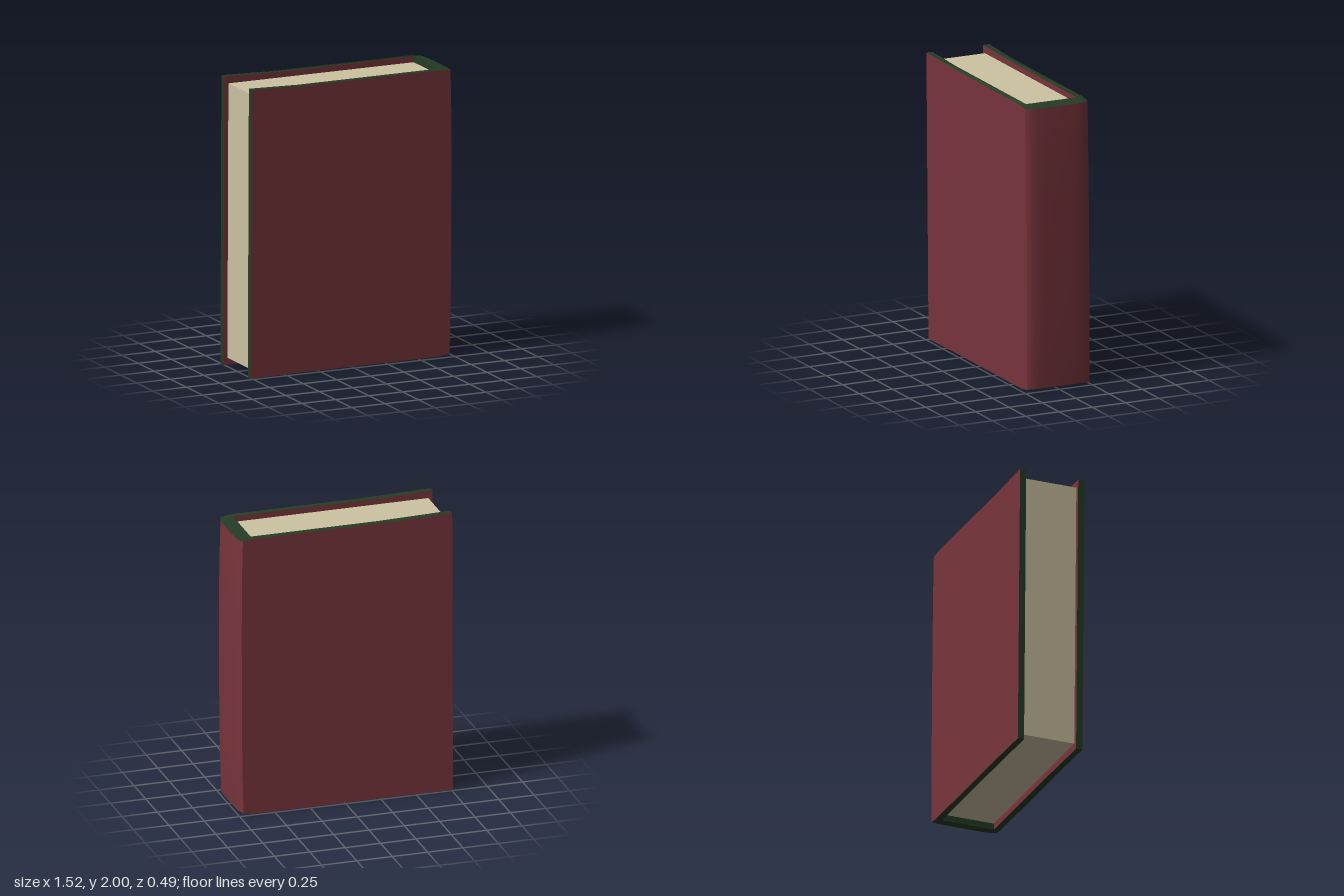
import * as THREE from 'three';

const X0 = -0.76, XI = 0.65, XC = 0.73; // fore edge, inner spine wall, spine corner
const ZO = 0.235, ZI = 0.19;            // outer and inner faces of the boards

export function createModel() {
  const mat = (name, color) => {
    const m = new THREE.MeshStandardMaterial({ color });
    m.name = name;
    return m;
  };
  const red = mat('red cloth', 0x78353c);
  const green = mat('dark green edge', 0x243c24);
  const cream = mat('cream paper', 0xcdc3a3);

  const book = new THREE.Group();
  book.name = 'book';
  const add = (name, geometry, material, parent) => {
    geometry.computeVertexNormals();
    const mesh = new THREE.Mesh(geometry, material);
    mesh.name = name;
    parent.add(mesh);
  };

  // Maps a plan point and a height fraction t to the slightly worn, leaning cover
  const place = (x, z, t) => {
    const s = 2 * t - 1;
    const spine = THREE.MathUtils.clamp((x - XI) / 0.11, 0, 1);
    const worn = THREE.MathUtils.clamp((x - X0) / 0.36, 0, 1);
    const top = 2 - 0.011 * worn - 0.014 * spine;
    const bottom = 0.005 * worn + 0.016 * spine;
    return [
      x - 0.014 * spine * Math.abs(s) ** 3,
      THREE.MathUtils.lerp(bottom, top, t),
      z + 0.008 * s,
    ];
  };

  // Rounded spine, running from the front corner to the back corner
  const half = [[XC, ZO], [0.742, 0.215], [0.751, 0.19], [0.757, 0.15], [0.76, 0.08]];
  const spine = [...half, ...half.slice().reverse().map(([x, z]) => [x, -z])];

  const cover = new THREE.Group();
  cover.name = 'cover';
  book.add(cover);

  // Upright surface following a plan path
  const wall = (name, path, material) => {
    const rows = 16, n = path.length;
    const g = new THREE.PlaneGeometry(1, 1, n - 1, rows);
    for (let r = 0; r <= rows; r++)
      path.forEach(([x, z], i) => g.attributes.position.setXYZ(r * n + i, ...place(x, z, 1 - r / rows)));
    add(name, g, material, cover);
  };
  wall('frontBoard', [[X0, ZO], [-0.4, ZO], [XI, ZO], [XC, ZO]], red);
  wall('spine', spine, red);
  wall('backBoard', [[XC, -ZO], [XI, -ZO], [-0.4, -ZO], [X0, -ZO]], red);
  wall('backForeEdge', [[X0, -ZO], [X0, -ZI]], green);
  wall('backLining', [[X0, -ZI], [-0.4, -ZI], [XI, -ZI]], red);
  wall('spineInside', [[XI, -ZI], [XI, ZI]], green);
  wall('frontLining', [[XI, ZI], [-0.4, ZI], [X0, ZI]], red);
  wall('frontForeEdge', [[X0, ZI], [X0, ZO]], green);

  // Green U-shaped edges closing the cover above and below
  const outline = [
    [X0, ZO], [-0.4, ZO], [XI, ZO], ...spine, [XI, -ZO], [-0.4, -ZO], [X0, -ZO],
    [X0, -ZI], [-0.4, -ZI], [XI, -ZI], [XI, ZI], [-0.4, ZI], [X0, ZI],
  ];
  const shape = new THREE.Shape(outline.map(([x, z]) => new THREE.Vector2(x, -z)));
  for (const t of [0, 1]) {
    const g = new THREE.ShapeGeometry(shape);
    if (t === 0) g.setIndex(Array.from(g.index.array).reverse());
    const p = g.attributes.position;
    for (let i = 0; i < p.count; i++) p.setXYZ(i, ...place(p.getX(i), -p.getY(i), t));
    add(t ? 'topEdge' : 'bottomEdge', g.toNonIndexed(), green, cover);
  }

  // Page block, set back from the cover and leaning with it
  const pages = new THREE.BoxGeometry(XI + 0.73, 1.9, 2 * ZI - 0.002);
  pages.translate((XI - 0.73) / 2, 1, 0);
  const p = pages.attributes.position;
  for (let i = 0; i < p.count; i++) p.setZ(i, p.getZ(i) + 0.008 * (p.getY(i) - 1));
  add('pages', pages, cream, book);

  return book;
}
